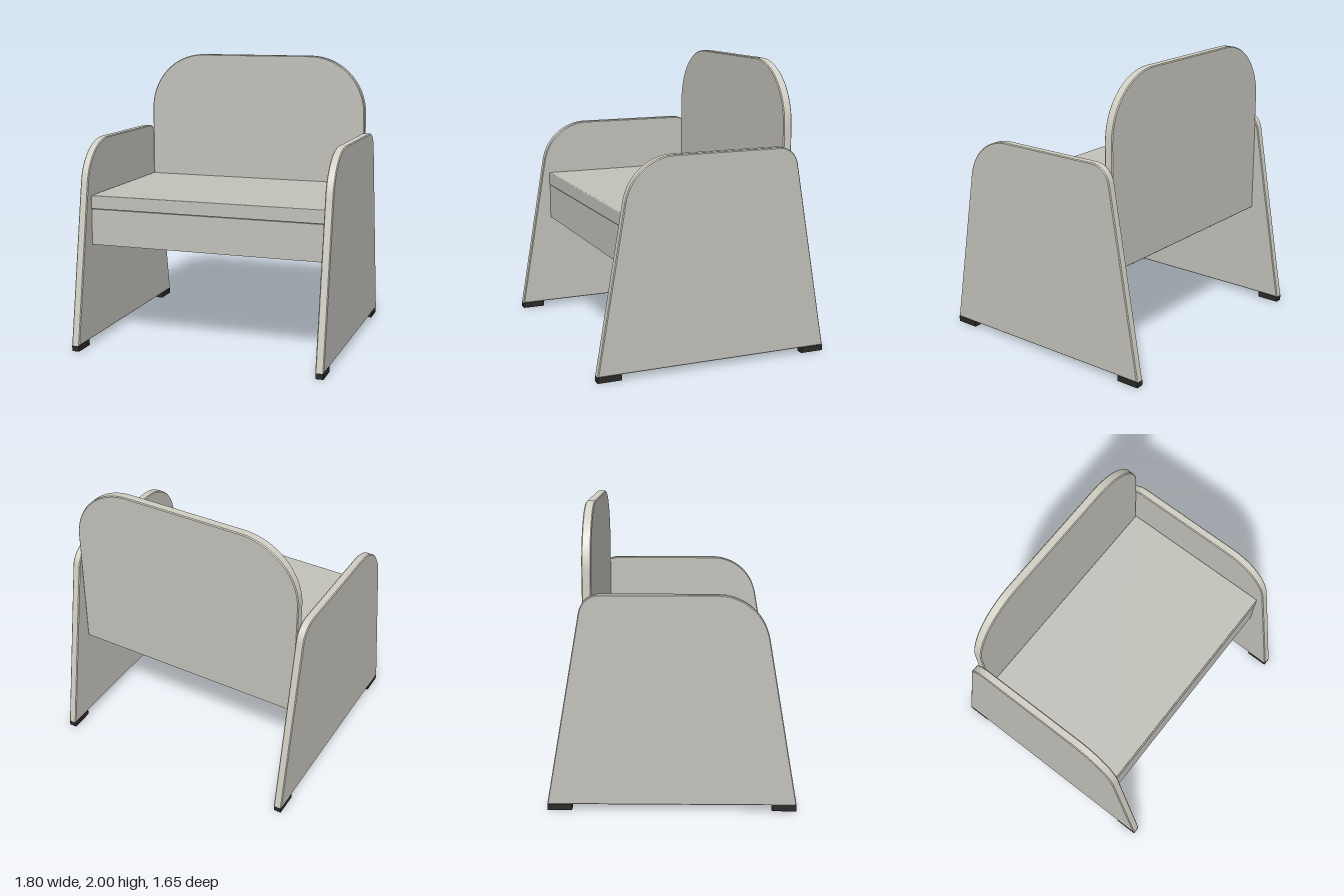
import * as THREE from 'three';
import { toCreasedNormals } from 'three/addons/utils/BufferGeometryUtils.js';
import { RoundedBoxGeometry } from 'three/addons/geometries/RoundedBoxGeometry.js';

const board = new THREE.MeshStandardMaterial({ name: 'greyBoard', color: 0xc1c0b9 });
const edging = new THREE.MeshStandardMaterial({ name: 'paleEdging', color: 0xd0cec2 });
const rubber = new THREE.MeshStandardMaterial({ name: 'blackRubber', color: 0x2b2928 });

// Counter-clockwise polygon from [x, y, radius] corners, rounded with true arcs
function roundedShape(corners) {
  const shape = new THREE.Shape();
  const n = corners.length;
  corners.forEach(([x, y, r], i) => {
    const p = new THREE.Vector2(x, y);
    if (!r) {
      if (i === 0) shape.moveTo(x, y);
      else shape.lineTo(x, y);
      return;
    }
    const [px, py] = corners[(i + n - 1) % n];
    const [nx, ny] = corners[(i + 1) % n];
    const u = new THREE.Vector2(px, py).sub(p).normalize();
    const v = new THREE.Vector2(nx, ny).sub(p).normalize();
    const half = Math.acos(u.dot(v)) / 2;
    const a = p.clone().addScaledVector(u, r / Math.tan(half));
    const b = p.clone().addScaledVector(v, r / Math.tan(half));
    const c = p.clone().addScaledVector(u.clone().add(v).normalize(), r / Math.sin(half));
    shape.lineTo(a.x, a.y);
    shape.absarc(c.x, c.y, r, Math.atan2(a.y - c.y, a.x - c.x), Math.atan2(b.y - c.y, b.x - c.x), false);
  });
  return shape;
}

// Flat board of the given thickness, centred on its mid plane, with softened edges
function boardGeometry(shape, thickness) {
  const bevel = 0.006;
  const geometry = new THREE.ExtrudeGeometry(shape, {
    depth: thickness - 2 * bevel, curveSegments: 10,
    bevelEnabled: true, bevelThickness: bevel, bevelSize: bevel, bevelOffset: -bevel, bevelSegments: 1,
  });
  geometry.translate(0, 0, bevel - thickness / 2);
  return toCreasedNormals(geometry, 0.5);
}

export function createModel() {
  const model = new THREE.Group();
  model.name = 'armchair';

  function add(name, geometry, material, x, y, z) {
    const mesh = new THREE.Mesh(geometry, material);
    mesh.name = name;
    mesh.position.set(x, y, z);
    model.add(mesh);
  }

  // Tapered side panels, drawn as z across and y up, then turned to face sideways
  const sideGeometry = boardGeometry(roundedShape([
    [-0.825, 0.04, 0], [0.825, 0.04, 0], [0.582, 1.447, 0.345], [-0.577, 1.447, 0.14],
  ]), 0.057);
  sideGeometry.rotateY(-Math.PI / 2);

  const footGeometry = new THREE.BoxGeometry(0.053, 0.04, 0.163);
  for (const [side, label] of [[1, 'left'], [-1, 'right']]) {
    add(label + 'SidePanel', sideGeometry, [board, edging], side * 0.872, 0, 0);
    add(label + 'FrontFoot', footGeometry, rubber, side * 0.872, 0.02, 0.743);
    add(label + 'BackFoot', footGeometry, rubber, side * 0.872, 0.02, -0.743);
  }

  // Backrest with large rounded top corners
  const backGeometry = boardGeometry(roundedShape([
    [-0.842, 0.715, 0], [0.842, 0.715, 0], [0.842, 2, 0.42], [-0.842, 2, 0.42],
  ]), 0.061);
  add('backrest', backGeometry, [board, edging], 0, 0, -0.5465);

  // Seat slab and the apron below its front edge
  add('seat', new RoundedBoxGeometry(1.684, 0.095, 1.112, 2, 0.006), board, 0, 1.0175, 0.041);
  add('frontApron', new THREE.BoxGeometry(1.68, 0.253, 0.06), board, 0, 0.8415, 0.562);

  return model;
}
